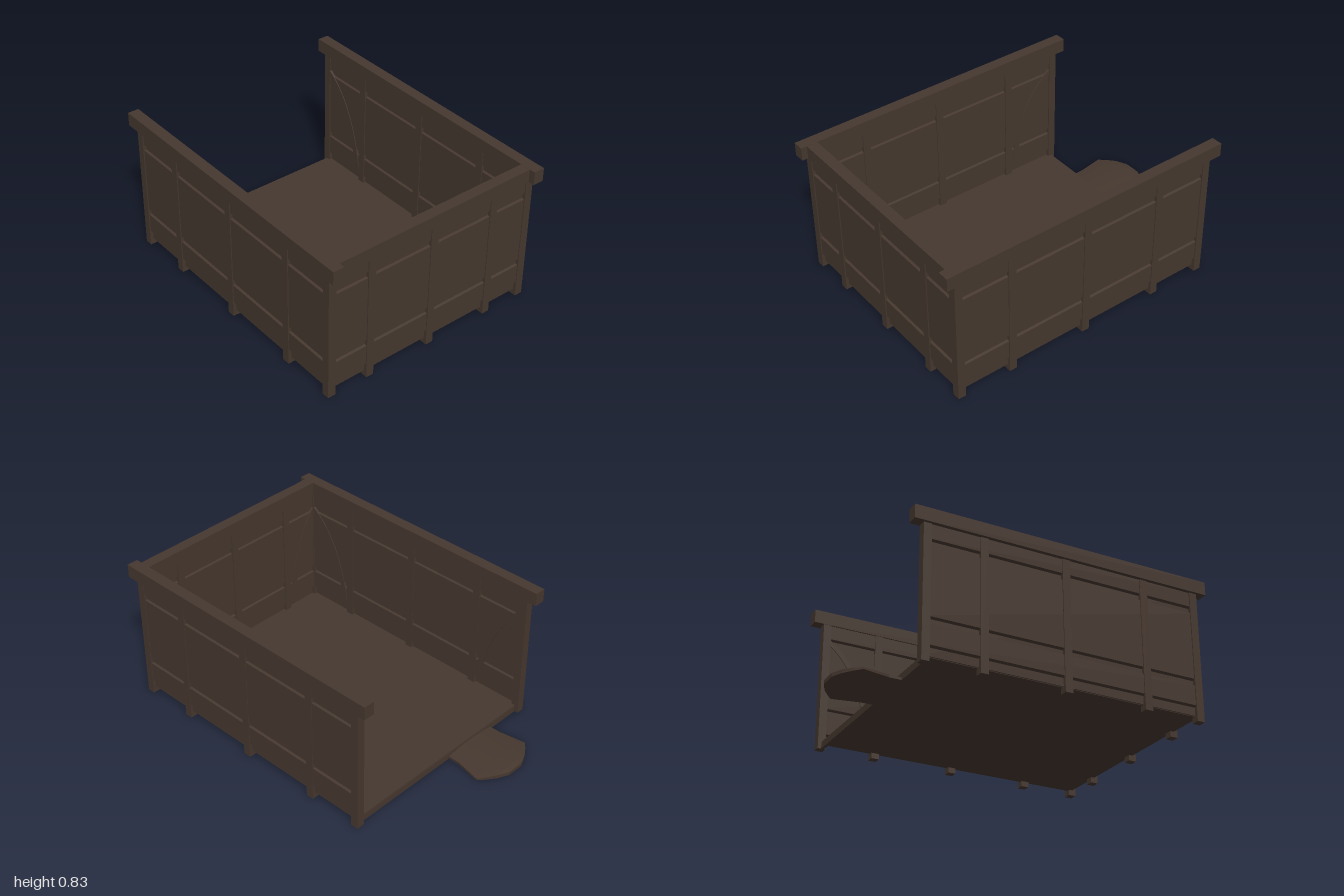
import * as THREE from 'three';

export function createModel() {
  const wood = new THREE.MeshStandardMaterial({ color: 0x46382f });
  wood.name = 'dark wood';
  wood.flatShading = true;
  const model = new THREE.Group();
  model.name = 'threeWalledRoom';

  function add(parent, name, geometry) {
    const mesh = new THREE.Mesh(geometry, wood);
    mesh.name = name;
    parent.add(mesh);
    return mesh;
  }

  // Box given by its lower and upper limits
  function box(parent, name, x0, x1, y0, y1, z0, z1) {
    const mesh = add(parent, name, new THREE.BoxGeometry(x1 - x0, y1 - y0, z1 - z0));
    mesh.position.set((x0 + x1) / 2, (y0 + y1) / 2, (z0 + z1) / 2);
  }

  // Horizontal board with chamfered long edges, running along x
  function board(parent, length, y0, y1) {
    const c = 0.009, d = 0.017, e = 0.004;
    const shape = new THREE.Shape([
      [-e, y0], [e, y0], [d, y0 + c], [d, y1 - c / 2],
      [e, y1], [-e, y1], [-d, y1 - c / 2], [-d, y0 + c],
    ].map(([z, y]) => new THREE.Vector2(-z, y)));
    const geometry = new THREE.ExtrudeGeometry(shape, { depth: length, bevelEnabled: false });
    geometry.translate(0, 0, -length / 2).rotateY(Math.PI / 2);
    add(parent, 'wallBoard', geometry);
  }

  // Curved brace from the top of a corner post to the foot of its neighbour
  function brace(parent, xCorner, xPost) {
    const dir = Math.sign(xCorner - xPost);
    const curve = (inset) => new THREE.QuadraticBezierCurve(
      new THREE.Vector2(xCorner, 0.665 - inset),
      new THREE.Vector2(xPost + dir * (0.06 + inset), 0.52 - inset * 0.6),
      new THREE.Vector2(xPost + dir * inset, 0.1)).getPoints(12);
    const shape = new THREE.Shape([...curve(0), ...curve(0.035).reverse()]);
    const geometry = new THREE.ExtrudeGeometry(shape, { depth: 0.014, bevelEnabled: false });
    add(parent, 'curvedBrace', geometry.translate(0, 0, -0.0215));
  }

  // Wall along local x, with its outside facing local +z
  function wall(name, half, posts) {
    const group = new THREE.Group();
    group.name = name;
    const length = 2 * half;
    box(group, 'wallCore', -half, half, 0.035, 0.765, -0.004, 0.004);
    for (const [y0, y1] of [[0.082, 0.21], [0.235, 0.64], [0.665, 0.765]]) {
      board(group, length, y0, y1);
    }
    for (const x of posts) {
      box(group, 'wallPost', x - 0.0225, x + 0.0225, 0, 0.76, -0.0225, 0.0225);
    }
    const last = posts[posts.length - 1] + 0.0225;
    for (const side of [-1, 1]) brace(group, side * (half - 0.02), side * last);
    model.add(group);
    return group;
  }

  const front = wall('frontWall', 0.80, [-0.48, 0, 0.48]);
  front.position.set(0.122, 0, 0.648);
  const back = wall('backWall', 0.80, [-0.48, 0, 0.48]);
  back.position.set(0.122, 0, -0.648);
  back.rotation.y = Math.PI;
  const side = wall('sideWall', 0.645, [-0.402, 0, 0.402]);
  side.position.set(0.926, 0, 0);
  side.rotation.y = Math.PI / 2;

  // Corner posts and long top beams
  for (const s of [-1, 1]) {
    for (const x of [-0.68, 0.926]) {
      box(model, 'cornerPost', x - 0.0225, x + 0.0225, 0, 0.76, s * 0.648 - 0.0235, s * 0.648 + 0.0235);
    }
    box(model, 'longTopBeam', -0.76, 1, 0.757, 0.835, s * 0.655 - 0.0325, s * 0.655 + 0.0325);
  }
  box(model, 'sideTopBeam', 0.902, 0.965, 0.758, 0.834, -0.625, 0.625);

  // Floor and the threshold across the open side
  box(model, 'floor', -0.68, 0.925, 0.032, 0.042, -0.645, 0.645);
  box(model, 'threshold', -0.682, -0.665, 0, 0.035, -0.645, 0.645);

  // Doorstep: stations [x, half width, crown height], gently arched on top
  const stations = [
    [-0.675, 0.173, 0.03], [-0.75, 0.175, 0.03], [-0.9, 0.205, 0.03],
    [-0.935, 0.165, 0.029], [-0.97, 0.115, 0.027], [-1, 0.05, 0.022],
  ];
  const steps = 12, centre = 0.237, positions = [], indices = [];
  for (const [x, w, h] of stations) {
    for (let i = 0; i <= steps; i++) {
      const t = (2 * i) / steps - 1;
      positions.push(x, h - 0.02 * (t * w / 0.205) ** 2, centre + t * w);
    }
    positions.push(x, 0, centre + w, x, 0, centre - w);
  }
  const ring = steps + 3;
  for (let s = 0; s < stations.length - 1; s++) {
    for (let i = 0; i < ring; i++) {
      const a = s * ring + i, b = s * ring + (i + 1) % ring;
      indices.push(a, a + ring, b, b, a + ring, b + ring);
    }
  }
  // End caps fan out from a lower corner
  const end = (stations.length - 1) * ring, corner = ring - 1;
  for (let i = 0; i < corner - 1; i++) {
    indices.push(end + corner, end + i + 1, end + i);
    indices.push(corner, i, i + 1);
  }
  const step = new THREE.BufferGeometry();
  step.setAttribute('position', new THREE.Float32BufferAttribute(positions, 3));
  step.setIndex(indices);
  const stepGeometry = step.toNonIndexed();
  stepGeometry.computeVertexNormals();
  add(model, 'doorstep', stepGeometry);

  return model;
}
